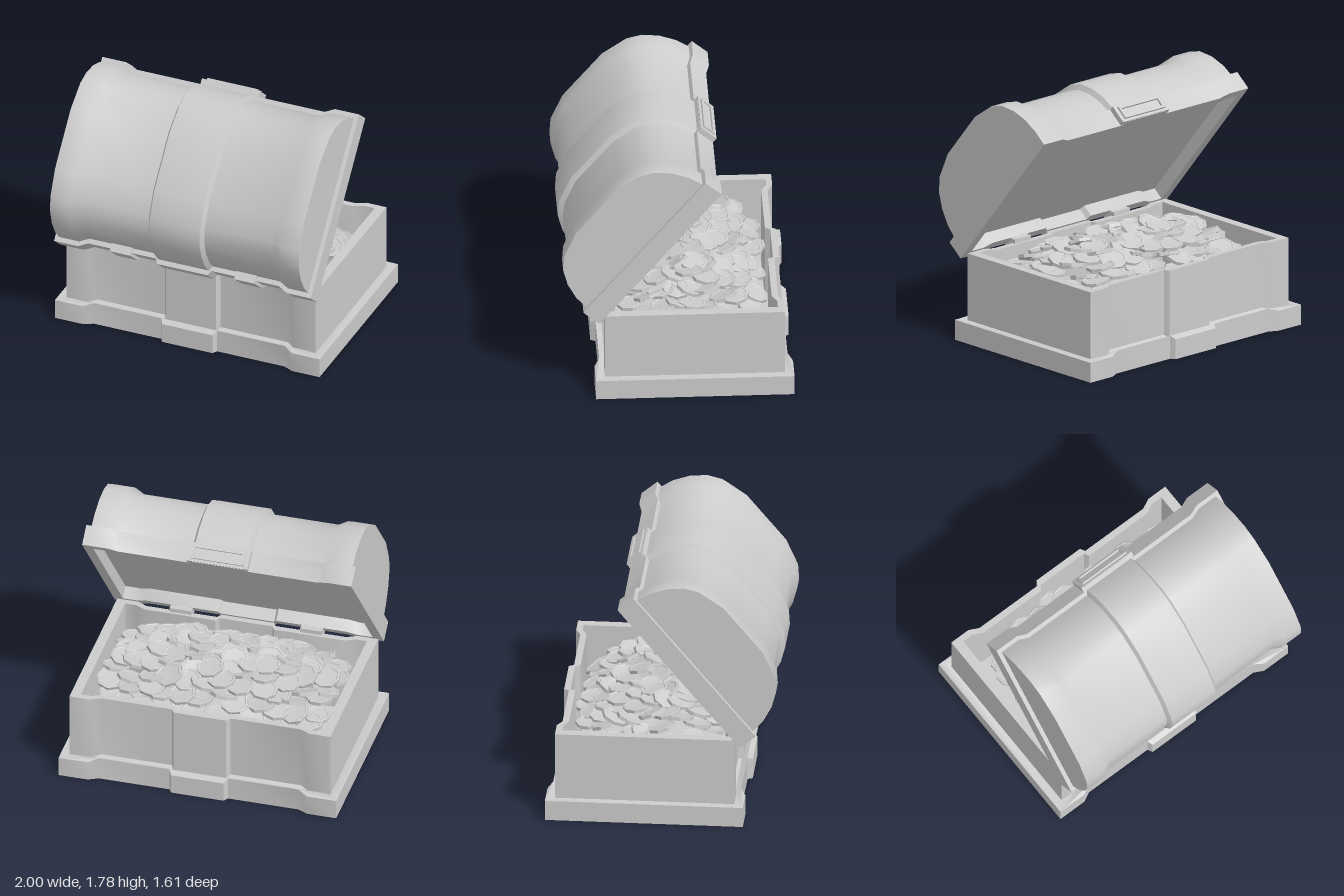
import * as THREE from 'three';
import { toCreasedNormals } from 'three/addons/utils/BufferGeometryUtils.js';

const INSET = 0.035; // how far the panels sit behind the end and centre bands
const grey = new THREE.MeshStandardMaterial({ color: 0xcccccc });
const facet = new THREE.MeshStandardMaterial({ color: 0xcccccc, flatShading: true });

function add(parent, name, geometry, x = 0, y = 0, z = 0, material = grey) {
  const mesh = new THREE.Mesh(geometry, material);
  mesh.name = name;
  mesh.position.set(x, y, z);
  parent.add(mesh);
  return mesh;
}

// Plan outline with raised end and centre bands on both long sides
function outline(hx, hz) {
  const side = [[hx, hz], [0.79, hz], [0.72, hz - INSET], [0.21, hz - INSET], [0.19, hz]];
  const half = [...side, ...side.map(([x, z]) => [-x, z]).reverse()];
  const loop = [...half, ...half.map(([x, z]) => [-x, -z])];
  return loop.map(([x, z]) => new THREE.Vector2(x, z));
}

// Upright slab or ring following the banded outline
function banded(outer, height, inner, lift = 0) {
  const shape = new THREE.Shape(outline(...outer));
  if (inner) shape.holes.push(new THREE.Path(outline(...inner)));
  const geo = new THREE.ExtrudeGeometry(shape, { depth: height, bevelEnabled: false });
  geo.rotateX(-Math.PI / 2);
  const p = geo.attributes.position;
  for (let i = 0; i < p.count; i++) {
    const x = Math.abs(p.getX(i));
    if (p.getY(i) > height / 2 && x > 0.2 && x < 0.75) p.setY(i, height + lift);
  }
  return toCreasedNormals(geo, 0.6);
}

// Barrel top: one arch profile swept along x, shrunk at the panels
function domeGeometry() {
  const right = [[0.63, 0], [0.615, 0.105], [0.57, 0.22], [0.5, 0.32], [0.41, 0.385], [0.215, 0.44]];
  const arch = [...right, ...right.map(([z, y]) => [-z, y]).reverse()];
  const half = [[0.19, 0], [0.21, INSET], [0.72, INSET], [0.79, 0], [0.94, 0]];
  const stations = [...half.map(([x, d]) => [-x, d]).reverse(), ...half];
  const pos = [], idx = [], n = arch.length;
  for (const [x, d] of stations)
    for (const [z, y] of arch) pos.push(x, y * (1 - d / 0.44), z * (1 - d / 0.63));
  for (let s = 0; s < stations.length - 1; s++)
    for (let j = 0; j < n - 1; j++) {
      const a = s * n + j, b = a + n;
      idx.push(a, b, a + 1, b, b + 1, a + 1);
    }
  const last = (stations.length - 1) * n;
  for (let j = 1; j < n - 1; j++) {
    idx.push(0, j, j + 1);
    idx.push(last, last + j + 1, last + j);
  }
  const geo = new THREE.BufferGeometry();
  geo.setAttribute('position', new THREE.Float32BufferAttribute(pos, 3));
  geo.setIndex(idx);
  return toCreasedNormals(geo, 0.6);
}

// Rectangular frame facing +z
function frame(w, h, hw, hh, depth) {
  const rect = (a, b) => [[-a, -b], [a, -b], [a, b], [-a, b]].map(([x, y]) => new THREE.Vector2(x / 2, y / 2));
  const shape = new THREE.Shape(rect(w, h));
  shape.holes.push(new THREE.Path(rect(hw, hh)));
  return new THREE.ExtrudeGeometry(shape, { depth, bevelEnabled: false });
}

function buildBox() {
  const box = new THREE.Group();
  box.name = 'box';
  box.position.z = -0.115;
  add(box, 'plinth', banded([1, 0.69], 0.145, [0.93, 0.615], 0.022));
  add(box, 'walls', banded([0.94, 0.625], 0.6, [0.87, 0.58]), 0, 0.03);
  add(box, 'floor', banded([0.935, 0.62], 0.03), 0, 0.03);
  return box;
}

function buildLid() {
  const lid = new THREE.Group();
  lid.name = 'lid';
  lid.position.set(0, 1.1, 0.125);
  lid.rotation.x = 0.876;
  add(lid, 'lidRim', banded([0.97, 0.664], 0.145, [0.9, 0.6]));
  add(lid, 'lidLining', banded([0.91, 0.61], 0.04), 0, 0.09);
  add(lid, 'dome', domeGeometry(), 0, 0.144);
  // Clasp on the opening edge
  add(lid, 'claspPlate', new THREE.BoxGeometry(0.44, 0.14, 0.04), 0, 0.0725, -0.65);
  add(lid, 'claspFrame', frame(0.38, 0.1, 0.34, 0.06, 0.015), 0, 0.0725, -0.684);
  // Hinges wrapped round the rear edge
  for (const x of [-0.47, 0.47]) {
    add(lid, 'hingeKnuckle', new THREE.BoxGeometry(0.155, 0.175, 0.085), x, 0.075, 0.609);
  }
  return lid;
}

// Heap of eight-sided coins with raised edges
function buildCoins() {
  const coins = new THREE.Group();
  coins.name = 'coins';
  let seed = 7;
  const rand = () => (seed = (seed * 16807) % 2147483647) / 2147483647 - 0.5;
  const profile = [[0, -0.006], [0.08, -0.009], [0.086, -0.014], [0.1, -0.012], [0.1, 0.012],
    [0.086, 0.014], [0.08, 0.009], [0, 0.006]].map(([r, y]) => new THREE.Vector2(r, y));
  const geo = new THREE.LatheGeometry(profile, 8);
  for (let row = 0; row < 9; row++)
    for (let col = 0; col < 12; col++) {
      const x = -0.73 + col * 0.133 + rand() * 0.06;
      const z = -0.54 + row * 0.108 + rand() * 0.05;
      if (x < -0.5 && z < -0.46) continue;
      const y = 0.7 - 0.12 * (x / 0.75) ** 4 - 0.19 * ((z + 0.06) / 0.5) ** 2 + rand() * 0.03;
      const coin = add(coins, 'coin', geo, x, y, z, facet);
      coin.rotation.set((z + 0.06) * 0.5 + rand() * 0.6, rand() * 3, rand() * 0.7);
    }
  return coins;
}

export function createModel() {
  const chest = new THREE.Group();
  chest.name = 'treasureChest';
  chest.add(buildBox(), buildLid(), buildCoins());
  // Fixed hinge leaves on the rear wall
  for (const x of [-0.47, 0.47])
    add(chest, 'hingeLeaf', new THREE.BoxGeometry(0.155, 0.08, 0.06), x, 0.62, 0.48);
  return chest;
}
